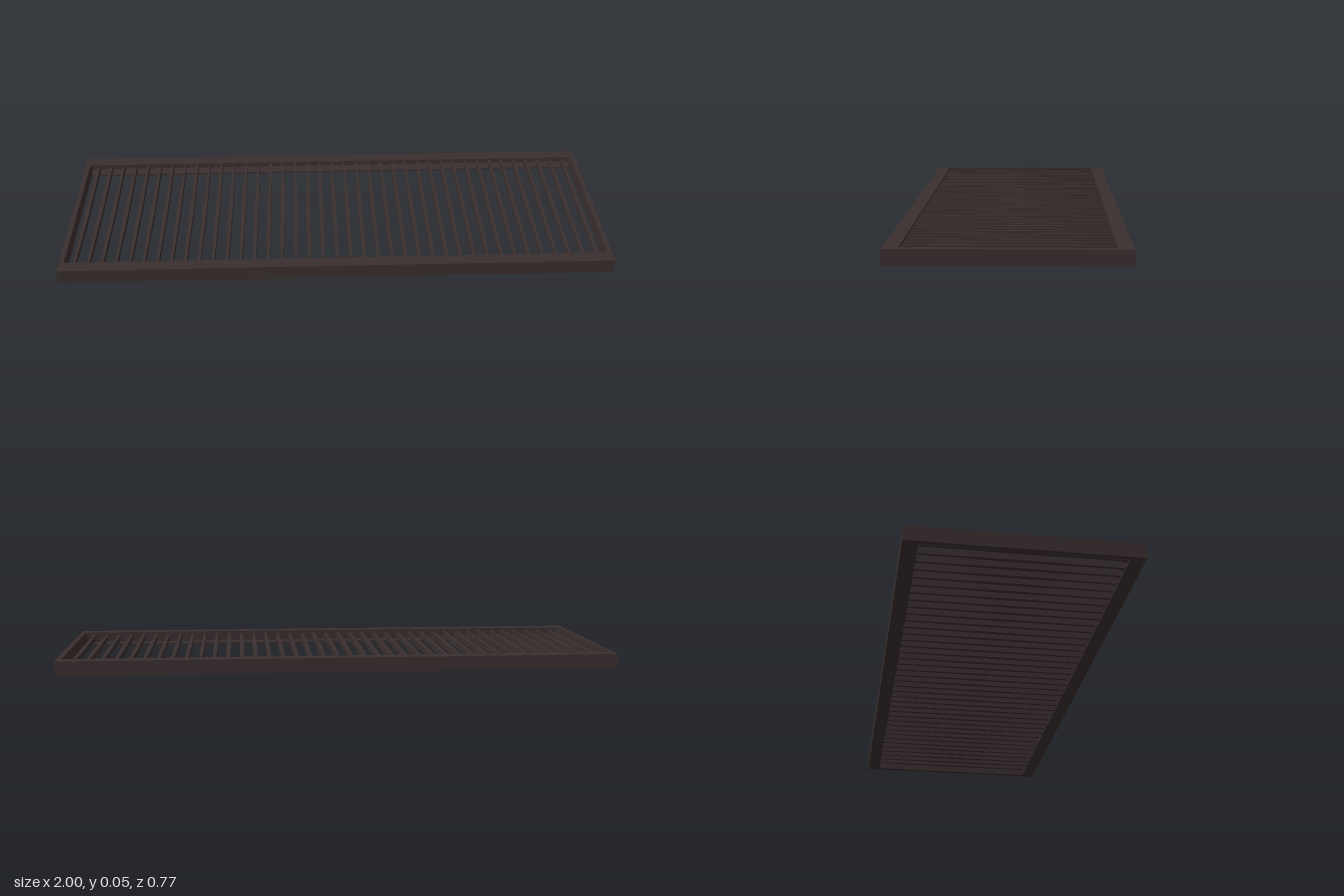
import * as THREE from 'three';

const HEIGHT = 0.052, HALF_LENGTH = 1, HALF_DEPTH = 0.383;
const END = 0.018, FLANGE = 0.05, WALL = 0.007;
const material = new THREE.MeshStandardMaterial({ color: 0x3a2f2f });

function addMesh(parent, name, geometry, x = 0, y = 0, z = 0) {
  const mesh = new THREE.Mesh(geometry, material);
  mesh.name = name;
  mesh.position.set(x, y, z);
  parent.add(mesh);
  return mesh;
}

// C-shaped channel, open towards the inside of the frame
function channelGeometry(length) {
  const shape = new THREE.Shape([
    [0, 0], [FLANGE, 0], [FLANGE, WALL], [WALL, WALL],
    [WALL, HEIGHT - WALL], [FLANGE, HEIGHT - WALL], [FLANGE, HEIGHT], [0, HEIGHT],
  ].map(([x, y]) => new THREE.Vector2(x, y)));
  return new THREE.ExtrudeGeometry(shape, { depth: length, bevelEnabled: false })
    .translate(0, 0, -length / 2);
}

// Slat that is slim at both ends and slightly swollen in the middle
function slatGeometry(length, height, endWidth, midWidth) {
  const geometry = new THREE.BoxGeometry(1, height, length, 1, 1, 8);
  const p = geometry.attributes.position;
  for (let i = 0; i < p.count; i++) {
    const t = Math.abs(p.getZ(i)) / (length / 2);
    p.setX(i, p.getX(i) * THREE.MathUtils.lerp(midWidth, endWidth, t));
  }
  geometry.computeVertexNormals();
  return geometry;
}

export function createModel() {
  const group = new THREE.Group();
  group.name = 'grate';

  // Long side rails
  const rail = channelGeometry(2 * (HALF_LENGTH - END));
  addMesh(group, 'frontRail', rail, 0, 0, HALF_DEPTH - 0.001).rotation.y = Math.PI / 2;
  addMesh(group, 'backRail', rail, 0, 0, -HALF_DEPTH + 0.001).rotation.y = -Math.PI / 2;

  // Flat end plates
  const plate = new THREE.BoxGeometry(END, HEIGHT, 2 * HALF_DEPTH);
  for (const [name, side] of [['leftEndPlate', 1], ['rightEndPlate', -1]]) {
    addMesh(group, name, plate, side * (HALF_LENGTH - END / 2), HEIGHT / 2, 0);
  }

  // Row of slats held inside the channels
  const slats = new THREE.Group();
  slats.name = 'slats';
  group.add(slats);
  const slat = slatGeometry(2 * (HALF_DEPTH - WALL), 0.022, 0.009, 0.016);
  for (let i = -19; i <= 19; i++) addMesh(slats, 'slat', slat, i * 0.05, HEIGHT / 2, 0);

  return group;
}
